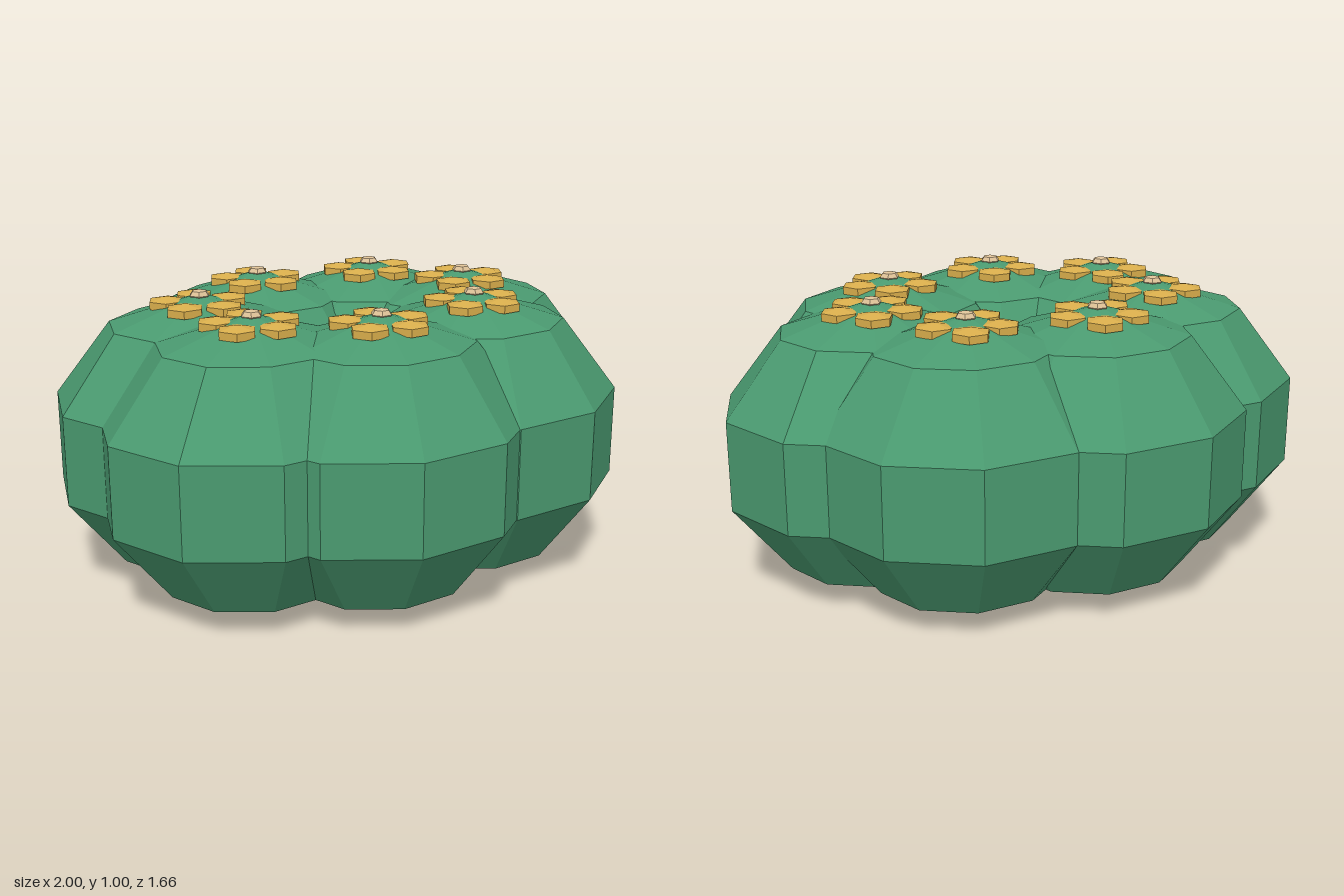
import * as THREE from 'three';

const mat = (name, color) => {
  const m = new THREE.MeshStandardMaterial({ color, flatShading: true });
  m.name = name;
  return m;
};

export function createModel() {
  const green = mat('cactus green', 0x4a9a70);
  const gold = mat('petal gold', 0xd9ae4c);
  const cream = mat('flower centre cream', 0xdcc096);

  // Faceted ellipsoid
  const ellipsoid = (name, material, sides, rings, rx, ry, rz, x, y, z) => {
    const geo = new THREE.SphereGeometry(1, sides, rings).scale(rx, ry, rz);
    const mesh = new THREE.Mesh(geo, material);
    mesh.name = name;
    mesh.position.set(x, y, z);
    return mesh;
  };

  // Five flat petals around a small centre
  const makeFlower = () => {
    const flower = new THREE.Group();
    flower.name = 'flower';
    for (let i = 0; i < 5; i++) {
      const a = (i / 5) * Math.PI * 2;
      flower.add(ellipsoid('petal', gold, 6, 3, 0.074, 0.026, 0.074,
        Math.cos(a) * 0.11, 0.954, Math.sin(a) * 0.11));
    }
    flower.add(ellipsoid('flowerCentre', cream, 6, 4, 0.036, 0.02, 0.036, 0, 0.985, 0));
    return flower;
  };

  // Ring of seven overlapping lobes, each topped by a flower
  const group = new THREE.Group();
  group.name = 'cactus';
  for (let i = 0; i < 7; i++) {
    const a = (i / 7) * Math.PI * 2;
    const x = Math.cos(a) * 0.515 - 0.025;
    const z = Math.sin(a) * 0.395;
    group.add(ellipsoid('lobe', green, 10, 5, 0.536, 0.495, 0.467 / 0.951, x, 0.496, z));
    const flower = makeFlower();
    flower.position.set(x, 0, z);
    group.add(flower);
  }
  return group;
}
